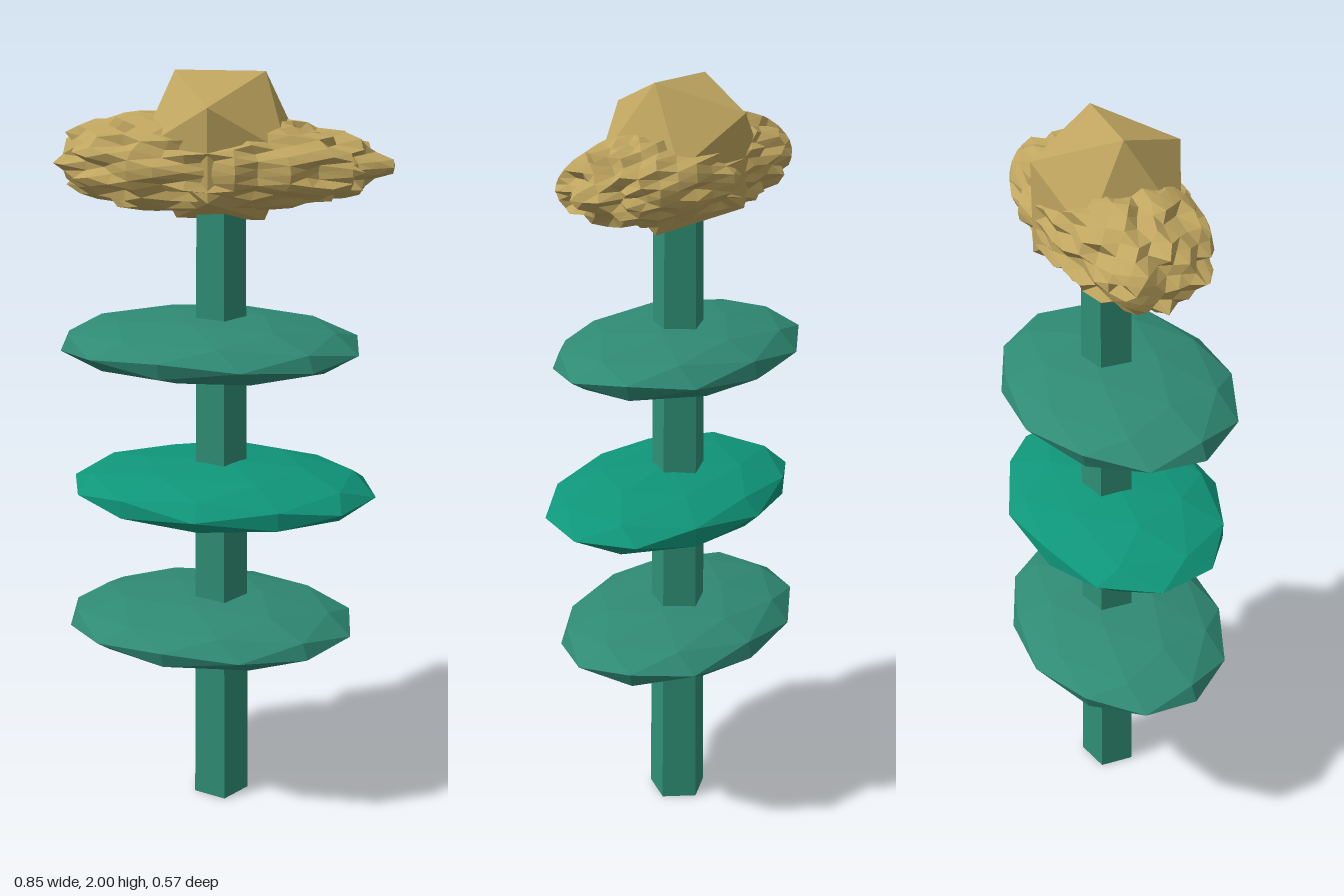
import * as THREE from 'three';

const paint = (color) => new THREE.MeshStandardMaterial({ color, flatShading: true });
const stemGreen = paint(0x2f8f76);
const leafGreen = paint(0x2f8a74);
const brightGreen = paint(0x0f967a);
const gold = paint(0xbfa55f);

function part(name, geometry, material, x, y, z) {
  const mesh = new THREE.Mesh(geometry, material);
  mesh.name = name;
  mesh.position.set(x, y, z);
  return mesh;
}

// Flat faceted disc of leaves around the stem
function leafDisc(tilt, turn, rx, rz) {
  return new THREE.IcosahedronGeometry(1, 1).rotateX(tilt).rotateY(turn).scale(rx, 0.077, rz);
}

// Repeatable value from 0 to 1 for a point, the same above and below the middle
function hash(x, y, z) {
  const key = Math.round(x * 200) * 12.9898 + Math.round(Math.abs(y) * 200) * 78.233 + Math.round(z * 200) * 37.719;
  const s = Math.sin(key) * 43758.5453;
  return s - Math.floor(s);
}

// Spiky flattened flower: a fine ball whose points are pushed in and out
function petalBurst() {
  const geometry = new THREE.IcosahedronGeometry(1, 6);
  const p = geometry.attributes.position;
  for (let i = 0; i < p.count; i++) {
    const x = p.getX(i), y = p.getY(i), z = p.getZ(i);
    const h = hash(x, y, z);
    const out = h > 0.5 ? 1 : 0.84 + 0.2 * h;
    const blunt = x < 0 ? 1 - 0.4 * x : 1; // fuller at the right end
    p.setXYZ(i,
      Math.max(-0.415, x * 0.43 * (out + (x < 0 ? 0.05 : 0))),
      y * 0.115 * Math.min(out * blunt, 1.25),
      z * 0.2 * out);
  }
  geometry.computeVertexNormals();
  return geometry;
}

export function createModel() {
  const model = new THREE.Group();
  model.name = 'flower';

  // Five-sided tapering stem
  const stem = new THREE.CylinderGeometry(0.065, 0.08, 1.78, 5, 1, false, Math.PI / 2);
  model.add(part('stem', stem, stemGreen, -0.015, 0.89, -0.0125));

  // Three leaf discs
  model.add(part('lowerLeaves', leafDisc(0.35, -0.21, 0.4, 0.29), leafGreen, -0.04, 0.535, 0));
  model.add(part('middleLeaves', leafDisc(0, -0.07, 0.41, 0.285), brightGreen, -0.005, 0.925, 0.005));
  model.add(part('upperLeaves', leafDisc(0.35, -0.21, 0.4, 0.29), leafGreen, -0.04, 1.315, 0));

  // Blossom
  model.add(part('petals', petalBurst(), gold, -0.01, 1.777, -0.015));
  model.add(part('flowerCentre', new THREE.IcosahedronGeometry(0.2145, 0), gold, -0.015, 1.8175, -0.0165));

  return model;
}
